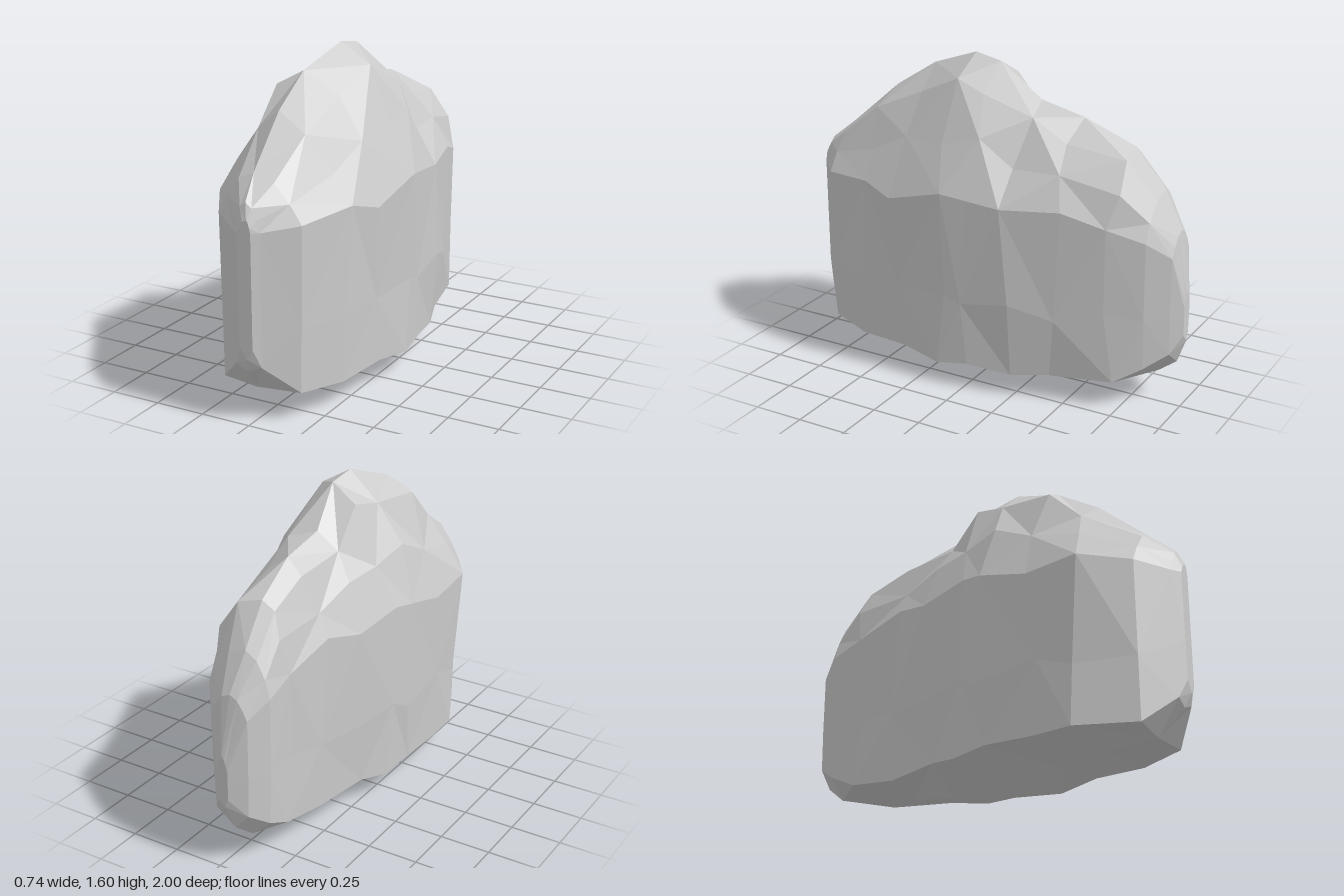
import * as THREE from 'three';

// Cross-sections from front to back:
// z, left x (-), right x (+), keel y, lower edge y, shoulder y, top y, ridge x, upper fullness
const SECTIONS = [
  [1.00, -0.04, 0.03, 0.33, 0.38, 0.92, 0.98, 0.01, 1.0],
  [0.97, -0.08, 0.06, 0.26, 0.29, 0.92, 1.05, -0.01, 1.0],
  [0.85, -0.23, 0.20, 0.13, 0.15, 0.94, 1.15, -0.04, 1.0],
  [0.60, -0.37, 0.30, 0.11, 0.14, 0.94, 1.37, -0.06, 1.0],
  [0.38, -0.375, 0.345, 0.07, 0.14, 0.95, 1.51, -0.06, 1.0],
  [0.12, -0.375, 0.375, 0.01, 0.13, 0.99, 1.605, -0.01, 1.0],
  [-0.02, -0.35, 0.365, 0.01, 0.13, 1.00, 1.58, 0.00, 0.95],
  [-0.22, -0.30, 0.35, 0.04, 0.13, 0.98, 1.41, -0.04, 0.9],
  [-0.45, -0.235, 0.28, 0.08, 0.13, 0.97, 1.36, -0.03, 1.02],
  [-0.70, -0.20, 0.215, 0.115, 0.15, 0.95, 1.25, -0.06, 1.08],
  [-0.85, -0.195, 0.135, 0.13, 0.22, 0.86, 1.07, -0.07, 1.08],
  [-0.95, -0.14, 0.055, 0.21, 0.29, 0.78, 0.89, -0.05, 1.0],
  [-1.00, -0.06, 0.00, 0.34, 0.38, 0.52, 0.60, -0.03, 1.0],
];

// One ring of 12 points, anticlockwise when seen from the front
function ring([z, left, right, keel, edge, shoulder, top, ridge, full], i) {
  const mix = THREE.MathUtils.lerp;
  const lower = z < -0.1 ? 0.9 : 0.95;
  const side = (x) => [
    [mix(ridge, x, lower), edge],
    [mix(ridge, x, 0.97), mix(edge, shoulder, 0.4)],
    [x, shoulder],
    [mix(ridge, x, 0.75 * full), mix(shoulder, top, 0.42)],
    [mix(ridge, x, 0.42 * full), mix(shoulder, top, 0.82)],
  ];
  const points = [[ridge - 0.01, keel], ...side(right), [ridge, top], ...side(left).reverse()];
  const inner = i > 2 && i < SECTIONS.length - 3;
  // Small shifts break up the regular rows into rough facets
  return points.map(([x, y], j) => {
    const free = inner && j % 6 !== 0 ? 1 : 0;
    return [
      x * (1 - free * 0.015 * (1 + Math.sin(i * 5.3 + j * 2.9))),
      y + free * (y > 0.3 ? 0.03 : 0.012) * Math.sin(i * 2.7 + j * 4.1),
      z + free * 0.03 * Math.sin(i * 3.9 + j * 1.7),
    ];
  });
}

function rockGeometry() {
  const rings = SECTIONS.map(ring);
  const n = rings[0].length;
  const last = rings.length - 1;
  const index = [];
  // Skin between neighbouring rings, with alternating diagonals
  for (let i = 0; i < last; i++) {
    for (let j = 0; j < n; j++) {
      const a = i * n + j, b = i * n + (j + 1) % n;
      const c = a + n, d = b + n;
      if ((i + j) % 2) index.push(a, c, b, b, c, d);
      else index.push(a, c, d, a, d, b);
    }
  }
  // End caps
  for (let j = 1; j < n - 1; j++) {
    index.push(0, j, j + 1);
    index.push(last * n, last * n + j + 1, last * n + j);
  }
  const geometry = new THREE.BufferGeometry();
  geometry.setAttribute('position', new THREE.Float32BufferAttribute(rings.flat(2), 3));
  geometry.setIndex(index);
  const flat = geometry.toNonIndexed();
  flat.computeVertexNormals();
  return flat;
}

export function createModel() {
  const group = new THREE.Group();
  group.name = 'boulder';
  const rock = new THREE.Mesh(
    rockGeometry(),
    new THREE.MeshStandardMaterial({ color: 0xcccccc, flatShading: true })
  );
  rock.name = 'rock';
  group.add(rock);
  return group;
}
